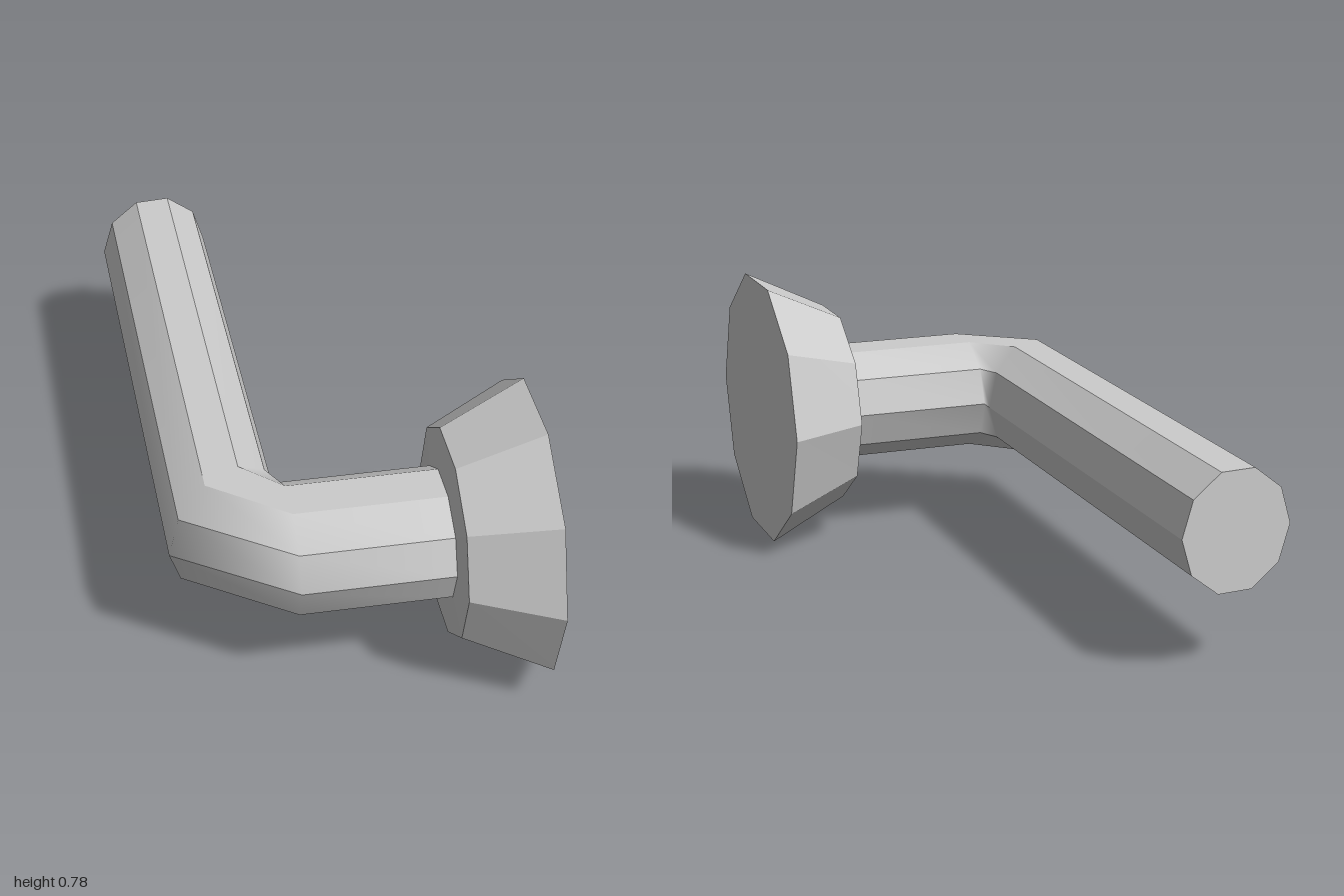
import * as THREE from 'three';

const SIDES = 10;
const AXIS_Y = 0.39;

// Ring point: the ring runs through outer and inner [x, z], with a vertical radius.
function ringPoint([outer, inner, radius], j) {
  const a = (j / SIDES) * Math.PI * 2;
  const c = Math.cos(a);
  return [
    (outer[0] + inner[0]) / 2 + ((outer[0] - inner[0]) / 2) * c,
    AXIS_Y + radius * Math.sin(a),
    (outer[1] + inner[1]) / 2 + ((outer[1] - inner[1]) / 2) * c,
  ];
}

// Ten strips, smooth along the path and sharp between strips, with optional end caps.
function loft(rings, capStart, capEnd) {
  const pos = [];
  const idx = [];
  for (let j = 0; j < SIDES; j++) {
    const base = pos.length / 3;
    rings.forEach((ring) => pos.push(...ringPoint(ring, j), ...ringPoint(ring, j + 1)));
    for (let i = 0; i < rings.length - 1; i++) {
      const p = base + i * 2;
      idx.push(p, p + 2, p + 1, p + 1, p + 2, p + 3);
    }
  }
  const cap = (ring, flip) => {
    const base = pos.length / 3;
    for (let j = 0; j < SIDES; j++) pos.push(...ringPoint(ring, j));
    for (let j = 1; j < SIDES - 1; j++) {
      if (flip) idx.push(base, base + j + 1, base + j);
      else idx.push(base, base + j, base + j + 1);
    }
  };
  if (capStart) cap(rings[0], false);
  if (capEnd) cap(rings[rings.length - 1], true);
  const geo = new THREE.BufferGeometry();
  geo.setAttribute('position', new THREE.Float32BufferAttribute(pos, 3));
  geo.setIndex(idx);
  geo.computeVertexNormals();
  return geo;
}

export function createModel() {
  const group = new THREE.Group();
  group.name = 'bentHandle';
  const material = new THREE.MeshStandardMaterial({ color: 0xcccccc });
  const add = (name, geo) => {
    const mesh = new THREE.Mesh(geo, material);
    mesh.name = name;
    group.add(mesh);
  };

  // Long arm, mitred elbow and short stem
  const stemEnd = [[0.25, 0.78], [0.25, 0.39], 0.171];
  add('bentBar', loft([
    [[-0.49, -0.97], [-0.17, -1.0], 0.171],
    [[-0.482, 0.56], [-0.163, 0.345], 0.171],
    [[-0.163, 0.78], [-0.163, 0.39], 0.171],
    stemEnd,
  ], true, false));

  // Flared mounting plate: back annulus, then sloped rim and front face
  const rimSmall = [[0.257, 0.885], [0.257, 0.295], 0.294];
  const rimLarge = [[0.488, 1.0], [0.488, 0.184], 0.408];
  add('plateBack', loft([stemEnd, rimSmall], false, false));
  add('flaredPlate', loft([rimSmall, rimLarge], false, true));

  return group;
}
